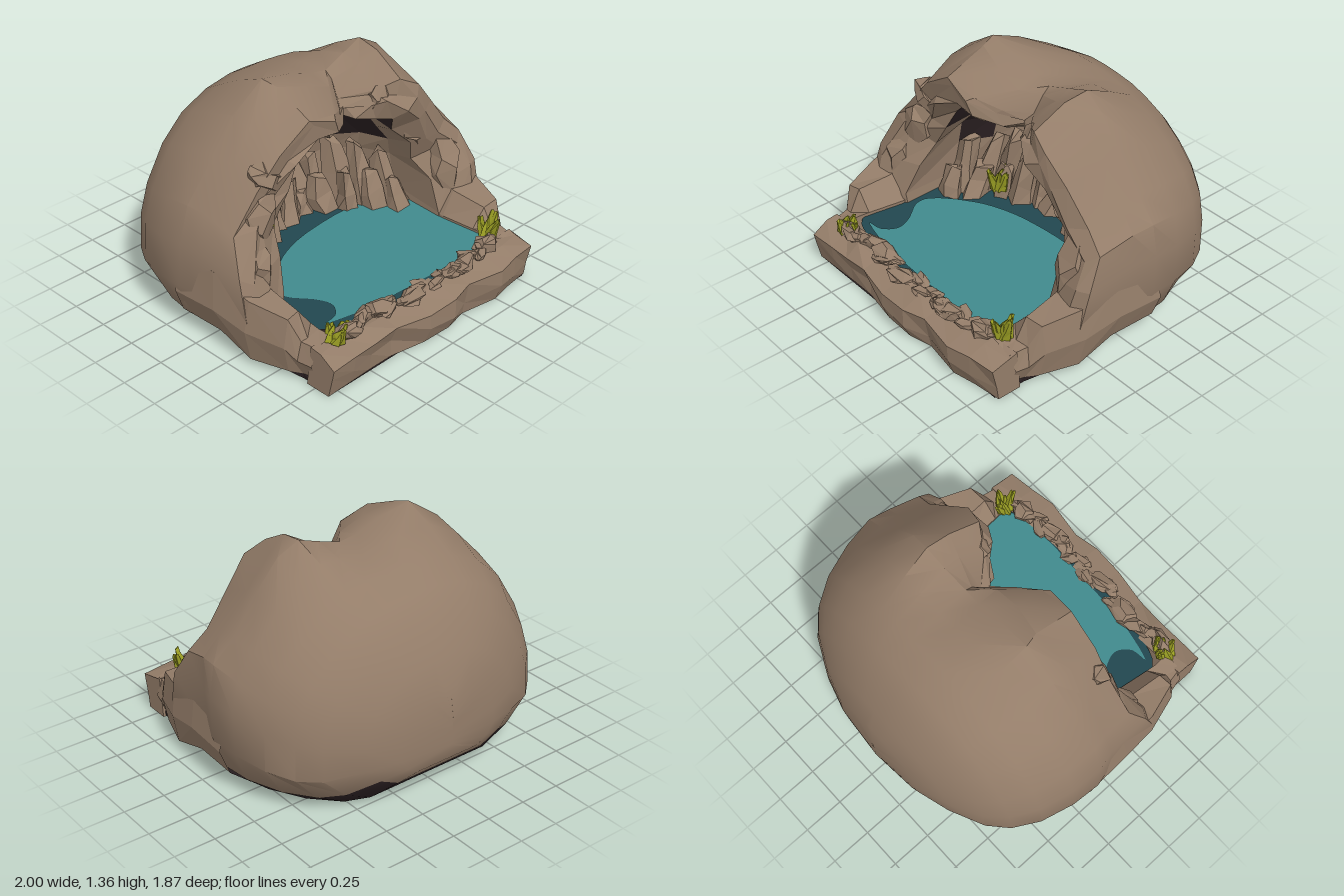
import * as THREE from 'three';
import { toCreasedNormals } from 'three/addons/utils/BufferGeometryUtils.js';

const paint = (name, color) => new THREE.MeshStandardMaterial({ name, color, side: THREE.DoubleSide });

// Repeatable noise in -1..1
const noise = (a, b, c = 0) => {
  const s = Math.sin(a * 127.1 + b * 311.7 + c * 74.7) * 43758.5453;
  return (s - Math.floor(s)) * 2 - 1;
};

// Skin over rows of points; pick(y, i, j) chooses the material slot of each quad
function skin(name, rows, mats, pick, crease = 0) {
  const n = rows[0].length;
  const buckets = mats.map(() => []);
  for (let i = 0; i < rows.length - 1; i++) for (let j = 0; j < n - 1; j++) {
    const a = i * n + j, b = a + 1, c = a + n, d = c + 1;
    const y = (rows[i][j][1] + rows[i][j + 1][1] + rows[i + 1][j][1] + rows[i + 1][j + 1][1]) / 4;
    buckets[pick(y, i, j)].push(a, b, c, b, d, c);
  }
  let g = new THREE.BufferGeometry();
  g.setAttribute('position', new THREE.Float32BufferAttribute(rows.flat(2), 3));
  g.setIndex(buckets.flat());
  let start = 0;
  buckets.forEach((b, m) => { g.addGroup(start, b.length, m); start += b.length; });
  if (crease) g = toCreasedNormals(g, crease);
  else { g = g.toNonIndexed(); g.computeVertexNormals(); }
  const mesh = new THREE.Mesh(g, mats);
  mesh.name = name;
  return mesh;
}

// Faceted rock: any geometry with its corners pushed about
function rock(name, geo, mat, amount, seed) {
  const g = geo.index ? geo.toNonIndexed() : geo;
  const p = g.attributes.position, r = (v) => Math.round(v * 100) / 100;
  for (let i = 0; i < p.count; i++) {
    const x = p.getX(i), y = p.getY(i), z = p.getZ(i);
    const k = r(x) * 3.1 + r(y) * 7.3 + r(z) * 13.7;
    p.setXYZ(i, x + amount * noise(k, seed, 1), y + amount * noise(k, seed, 2), z + amount * noise(k, seed, 3));
  }
  g.computeVertexNormals();
  const mesh = new THREE.Mesh(g, mat);
  mesh.name = name;
  return mesh;
}

// Flat horizontal plate from an outline of [x, z] points
function plate(name, pts, y, mat, smooth = true) {
  const v = pts.map(([x, z]) => new THREE.Vector2(x, -z));
  const shape = new THREE.Shape();
  shape.moveTo(v[0].x, v[0].y);
  if (smooth) shape.splineThru([...v.slice(1), v[0]]);
  else v.slice(1).forEach((q) => shape.lineTo(q.x, q.y));
  const mesh = new THREE.Mesh(new THREE.ShapeGeometry(shape, 4).rotateX(-Math.PI / 2), mat);
  mesh.position.y = y;
  mesh.name = name;
  return mesh;
}

// Arch outlines from +x over the top to -x: humped front, rounded back, cave mouth
const HUMPED = [[.8, 0], [.92, .12], [.99, .32], [1, .58], [.96, .77], [.84, .89], [.68, 1.1], [.53, 1.28], [.4, 1.35], [.27, 1.29], [.12, 1.23],
  [0, 1.25], [-.14, 1.31], [-.36, 1.36], [-.58, 1.21], [-.73, 1.03], [-.92, .8], [-.98, .58], [-1, .32], [-.94, .12], [-.8, 0]];
const ROUND = [[.8, 0], [.93, .12], [.99, .32], [.99, .58], [.95, .78], [.86, .95], [.72, 1.1], [.56, 1.22], [.4, 1.29], [.27, 1.33], [.12, 1.35],
  [0, 1.36], [-.14, 1.36], [-.36, 1.32], [-.58, 1.22], [-.76, 1.05], [-.91, .8], [-.98, .58], [-1, .32], [-.94, .12], [-.8, 0]];
const MOUTH = [[.62, 0], [.64, .12], [.65, .3], [.64, .5], [.6, .62], [.5, .74], [.4, .88], [.32, .97], [.24, 1.02], [.16, 1.03], [.1, 1.02],
  [0, 1], [-.14, 1], [-.28, 1.04], [-.38, .96], [-.46, .8], [-.56, .68], [-.62, .5], [-.65, .3], [-.64, .12], [-.62, 0]];
const RIM_Z = [.4, .4, .38, .32, .22, .2, .22, .25, .22, .14, -.01, .12, .21, .23, .22, .2, .2, .3, .37, .4, .4];

export function createModel() {
  const root = new THREE.Group();
  root.name = 'caveWithPool';
  const stone = paint('stone', 0x947d69), dark = paint('darkStone', 0x2c2123);
  const water = paint('water', 0x418a8d), deep = paint('deepWater', 0x22474f), leaf = paint('leaf', 0x969a22);

  // Outer shell, stations: z, width scale, bottom, top, roundness, foot width
  const stations = [[.2, .95, 0, 1.22, 0, 1], [0, .97, 0, 1.33, 0, 1], [-.12, 1, 0, 1.36, .1, 1], [-.3, .985, 0, 1.3, .5, .97], [-.5, .93, 0, 1.21, 1, .88],
    [-.65, .84, 0, 1.12, 1, .76], [-.75, .73, .04, 1, 1, .7], [-.85, .53, .14, .82, 1, .7], [-.91, .33, .21, .66, 1, .8], [-.94, 0, .3, .48, 1, 1]];
  const shell = stations.map(([z, sx, yb, h, mix, foot], i) => {
    const rough = i === 1 ? .025 : i === 2 ? .012 : 0;
    const row = HUMPED.map(([x, y], j) => [
      THREE.MathUtils.lerp(x, ROUND[j][0], mix) * sx * (j % 20 === 0 ? foot : j % 18 === 1 ? (1 + foot) / 2 : 1)
        + (j > 3 && j < 16 ? rough * noise(i, j, 7) : 0),
      yb + THREE.MathUtils.lerp(y, ROUND[j][1], mix) / 1.36 * (h - yb),
      i === 0 ? RIM_Z[j] : z + rough * noise(i, j, 8) - (i === 1 && j === 10 ? .06 : 0)]);
    return [...row, row[0]];
  });
  root.add(skin('outerShell', shell, [stone, dark], (y, i, j) => ((j === 0 || j >= 19) && y < .13 ? 1 : 0), 0.6));

  // Craggy rim between the shell edge and the cave mouth
  const rim = [0, .3, .65, 1].map((t, i) => MOUTH.map(([x, y], j) => {
    const [ox, oy] = shell[0][j], k = i === 0 ? 0 : .035;
    return [
      THREE.MathUtils.lerp(ox, x, t) + k * noise(i, j, 1),
      Math.max(0, THREE.MathUtils.lerp(oy, y, t) + k * noise(i, j, 2)),
      RIM_Z[j] + [0, .02, .01, -.06][i] + k * noise(i, j, 3)];
  }));
  root.add(skin('caveRim', rim, [stone], () => 0));

  // Cave interior: stone below, dark vault above
  const vault = [[-.08, 1.03], [-.3, .95], [-.48, .75], [-.58, .45], [-.62, 0]].map(([z, s], i) =>
    MOUTH.map(([x, y], j) => [x * s + .02 * noise(i, j, 4), y * (i < 4 ? .6 + .4 * s : .5), z + .02 * noise(i, j, 5)]));
  root.add(skin('caveInterior', [rim[3], ...vault], [stone, dark], (y, i) => (y > (i > 0 ? .58 : .86) ? 1 : 0)));

  // Side banks running forward from the shell: z, inner x, outer x, top
  const bank = [[-.18, .7, .98, .48], [.12, .64, .97, .5], [.36, .63, .95, .42], [.58, .65, .88, .38], [.65, .65, .84, .25], [.74, .65, .82, .24]];
  for (const s of [1, -1]) {
    const rows = bank.map(([z, a0, b, top], i) => {
      const j = (k) => .015 * noise(i, k, s), a = a0 + (s < 0 ? .035 : 0);
      const foot = i < 2 ? .11 : .04;
      const r = [[s * .8, 0, z], [s * (b - (i < 2 ? .05 : .03)), foot, z], [s * (b + .01), Math.max(foot + .05, top * .55), z + j(1)], [s * (b - .02), top, z + j(2)],
        [s * (a + .09), top + j(3), z], [s * (a + j(4)), .27, z], [s * a, 0, z]];
      return [...r, r[0]];
    });
    root.add(skin(s > 0 ? 'leftBank' : 'rightBank', rows, [stone, dark], (y, i, j) => (j === 0 || j > 5 ? 1 : 0)));
  }

  // Front slab holding back the pool: x, front z
  const slab = [[-.82, .89], [-.65, .885], [-.5, .88], [-.33, .88], [-.1, .92], [.1, .925], [.25, .89], [.5, .93], [.65, .9], [.82, .88]];
  const slabRows = slab.map(([x, z], i) => {
    const j = (k) => .025 * noise(i, k, 9);
    const r = [[x, 0, z - .04], [x, .1 + j(1), z - .02 + j(2)], [x, .2 + j(3) * .8, z], [x, .245 + j(4) * .5, .78 + j(5)], [x, .25, .7 + j(6)], [x, 0, .69]];
    return [...r, r[0]];
  });
  root.add(skin('frontSlab', slabRows, [stone, dark], (y, i, j) => (j === 5 ? 1 : 0)));
  for (const row of [slabRows[0], slabRows[9]]) {
    root.add(skin('slabEnd', [[row[0], row[1], row[2]], [row[5], row[4], row[3]]], [stone], () => 0));
  }
  root.add(plate('underside', [[-.8, .85], [.8, .85], [.8, .3], [-.8, .3]], .002, dark, false));

  // Pool with a darker margin
  root.add(plate('poolMargin', [[-.7, .2], [-.7, .6], [-.5, .71], [-.17, .75], [.5, .71], [.67, .6], [.67, 0], [.4, -.3], [0, -.36], [-.4, -.3], [-.62, -.05]], .25, deep));
  root.add(plate('poolSurface', [[-.6, .23], [-.59, .31], [-.5, .43], [-.47, .53], [-.53, .61], [-.62, .63], [-.35, .69], [0, .71], [.4, .72], [.66, .62], [.66, .1],
    [.4, -.1], [0, -.1], [-.3, -.02], [-.52, .13]], .256, water));

  // Leaning shards along the back wall, tall ones behind short ones
  for (const [count, tall, back, thick] of [[12, .4, .13, .21], [11, .25, .03, .19]]) {
    for (let i = 0; i < count; i++) {
      const u = i / (count - 1) * 2 - 1, n = noise(i, count);
      const h = tall + .07 * n;
      const m = rock('wallShard', new THREE.CylinderGeometry(.32, .52, 1, 5, 2), stone, .12, i + count);
      m.scale.set(thick, h, thick * .8);
      m.position.set(u * .57, .2 + h / 2, -.28 - back + .36 * u * u + .02 * n);
      m.rotation.set(-.25 + .12 * n, i * 1.3, .3 * noise(i, 3));
      root.add(m);
    }
  }

  // Boulders on the rim and slab: position, size
  const boulders = [[-.2, 1.11, .15, .3, .13, .14], [-.6, .95, .15, .24, .14, .16], [-.68, .75, .17, .2, .3, .16], [.3, 1.08, .14, .16, .22, .14],
    [.55, .85, .15, .16, .36, .15], [.74, .5, .24, .2, .42, .2], [-.76, .45, .25, .18, .36, .2], [.57, .27, .74, .14, .1, .12], [-.32, .26, .73, .2, .08, .12]];
  boulders.forEach(([x, y, z, w, h, d], i) => {
    const m = rock('boulder', new THREE.DodecahedronGeometry(.55, 0), stone, .1, i);
    m.scale.set(w, h, d);
    m.position.set(x, y, z);
    m.rotation.z = y > .6 ? .5 * Math.sign(x) : 0;
    root.add(m);
  });

  // Flat rubble along the front edge, taller towards the ends
  for (let i = 0; i < 20; i++) {
    const u = i / 19 * 2 - 1, size = .09 + .03 * noise(i, 5);
    const m = rock('rubble', new THREE.DodecahedronGeometry(.5, 0), stone, .14, i);
    m.scale.set(size * 1.9, size * (.5 + .5 * Math.abs(u)), size);
    m.position.set(u * .6, .25 + .02 * Math.abs(u), .745 + .04 * noise(i, 6));
    m.rotation.set(noise(i, 7) * .3, noise(i, 8) * .6, noise(i, 9) * .3);
    root.add(m);
  }

  // Leafy tufts: position, height, spread in x and z
  for (const [x, y, z, h, wx, wz] of [[-.655, .245, .75, .1, .065, .04], [.665, .255, .675, .15, .03, .035], [-.35, .31, -.14, .16, .045, .03]]) {
    const tuft = new THREE.Group();
    tuft.name = 'leafTuft';
    for (let i = 0; i < 9; i++) {
      const a = i * 2.4, k = .8 + .2 * noise(i, x);
      const m = rock('leaf', new THREE.CylinderGeometry(.12, .5, 1, 5, 2).translate(0, .5, 0), leaf, .08, i);
      m.scale.set(.075, h * k, .065);
      m.position.set(Math.cos(a) * wx * .7, 0, Math.sin(a) * wz * .7);
      m.rotation.set(Math.sin(a) * .3, a, -Math.cos(a) * .35);
      tuft.add(m);
    }
    tuft.position.set(x, y, z);
    root.add(tuft);
  }
  return root;
}
